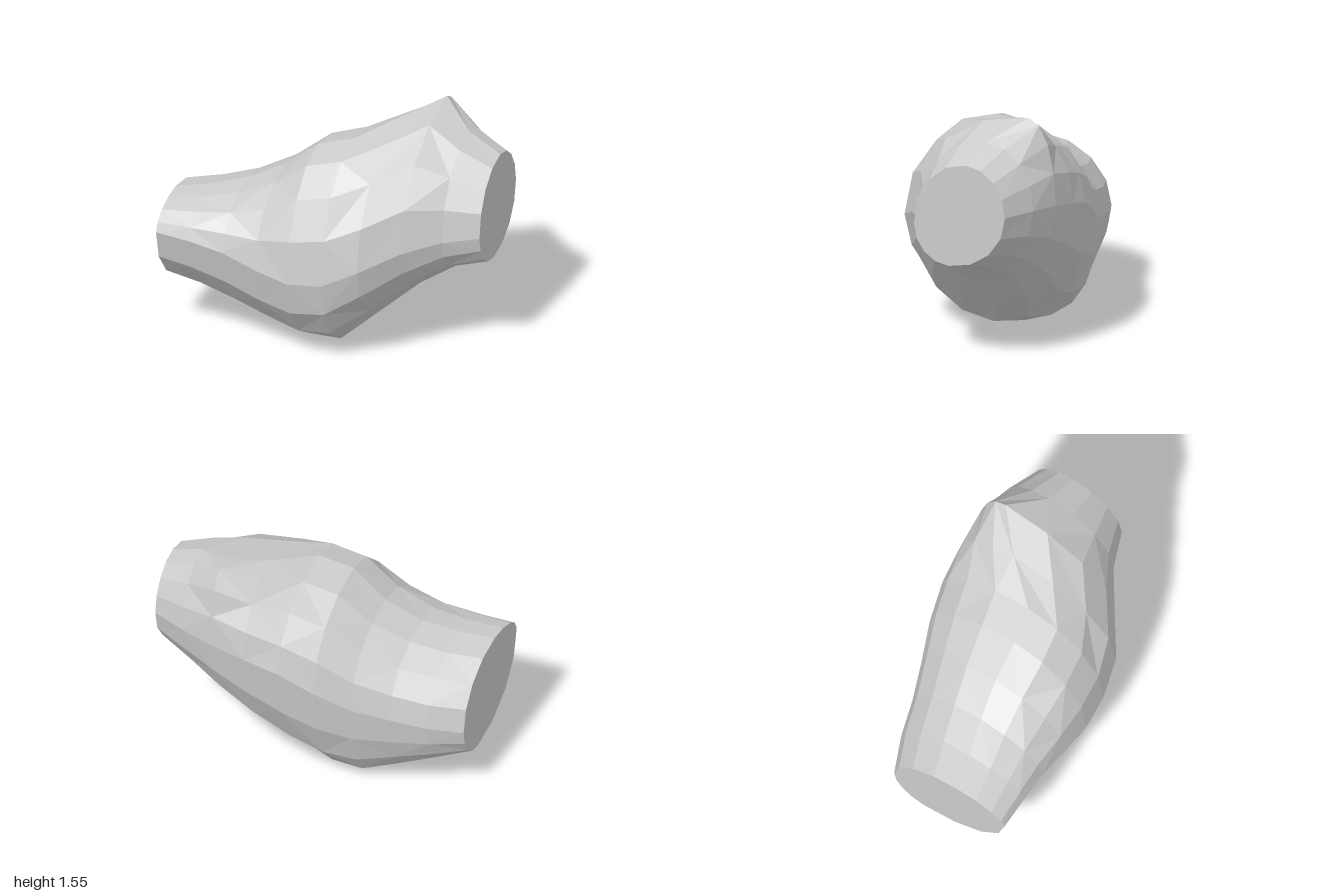
import * as THREE from 'three';

const SIDES = 16;

// Stations along x: [x, top, bottom, back z, front z, z of top, z of bottom, y of front, y of back]
const STATIONS = [
  [-1.00, 0.94, 0.28, -0.24, 0.58, 0.24, -0.02, 0.78, 0.53],
  [-0.78, 0.97, 0.21, -0.33, 0.58, 0.18, -0.10, 0.76, 0.56],
  [-0.56, 1.03, 0.12, -0.39, 0.58, 0.12, -0.14, 0.72, 0.60],
  [-0.33, 1.15, 0.035, -0.47, 0.60, 0.08, -0.18, 0.65, 0.66],
  [-0.11, 1.33, 0.00, -0.55, 0.615, 0.08, -0.07, 0.60, 0.78],
  [0.11, 1.39, 0.04, -0.60, 0.60, 0.04, 0.04, 0.62, 0.90],
  [0.33, 1.46, 0.23, -0.62, 0.55, -0.21, -0.10, 0.73, 0.96],
  [0.56, 1.55, 0.43, -0.61, 0.39, -0.42, -0.17, 0.83, 1.00],
  [0.78, 1.43, 0.58, -0.56, 0.24, -0.24, -0.14, 0.88, 1.02],
  [1.00, 1.33, 0.66, -0.47, 0.16, -0.20, -0.08, 0.91, 1.02],
];

// Closed ring made of four quarter ellipses, running from the top towards the front
function ring([x, top, bottom, back, front, zTop, zBottom, yFront, yBack]) {
  return Array.from({ length: SIDES }, (_, i) => {
    const a = (i / SIDES) * Math.PI * 2;
    const s = Math.sin(a), c = Math.cos(a);
    const zc = c >= 0 ? zTop : zBottom;
    const yc = s >= 0 ? yFront : yBack;
    const y = yc + (c >= 0 ? top - yc : yc - bottom) * c;
    const z = zc + (s >= 0 ? front - zc : zc - back) * s;
    return new THREE.Vector3(x, y, z);
  });
}

function meshFrom(points, name, material) {
  const geometry = new THREE.BufferGeometry().setFromPoints(points);
  geometry.computeVertexNormals();
  const mesh = new THREE.Mesh(geometry, material);
  mesh.name = name;
  return mesh;
}

// Flat end face as a triangle fan
function capPoints(points, facesLeft) {
  const tris = [];
  for (let i = 1; i < SIDES - 1; i++) {
    if (facesLeft) tris.push(points[0], points[i], points[i + 1]);
    else tris.push(points[0], points[i + 1], points[i]);
  }
  return tris;
}

export function createModel() {
  const group = new THREE.Group();
  group.name = 'facetedLump';
  const material = new THREE.MeshStandardMaterial({ color: 0xcccccc, flatShading: true });
  const rings = STATIONS.map(ring);

  // Faceted skin with alternating diagonals
  const skin = [];
  for (let r = 0; r < rings.length - 1; r++) {
    for (let i = 0; i < SIDES; i++) {
      const j = (i + 1) % SIDES;
      const a = rings[r][i], b = rings[r][j];
      const c = rings[r + 1][i], d = rings[r + 1][j];
      if ((r + i) % 2) skin.push(a, b, c, b, d, c);
      else skin.push(a, b, d, a, d, c);
    }
  }
  group.add(meshFrom(skin, 'body', material));

  // Flat cut ends
  group.add(meshFrom(capPoints(rings[0], false), 'rightEnd', material));
  group.add(meshFrom(capPoints(rings[rings.length - 1], true), 'leftEnd', material));
  return group;
}
